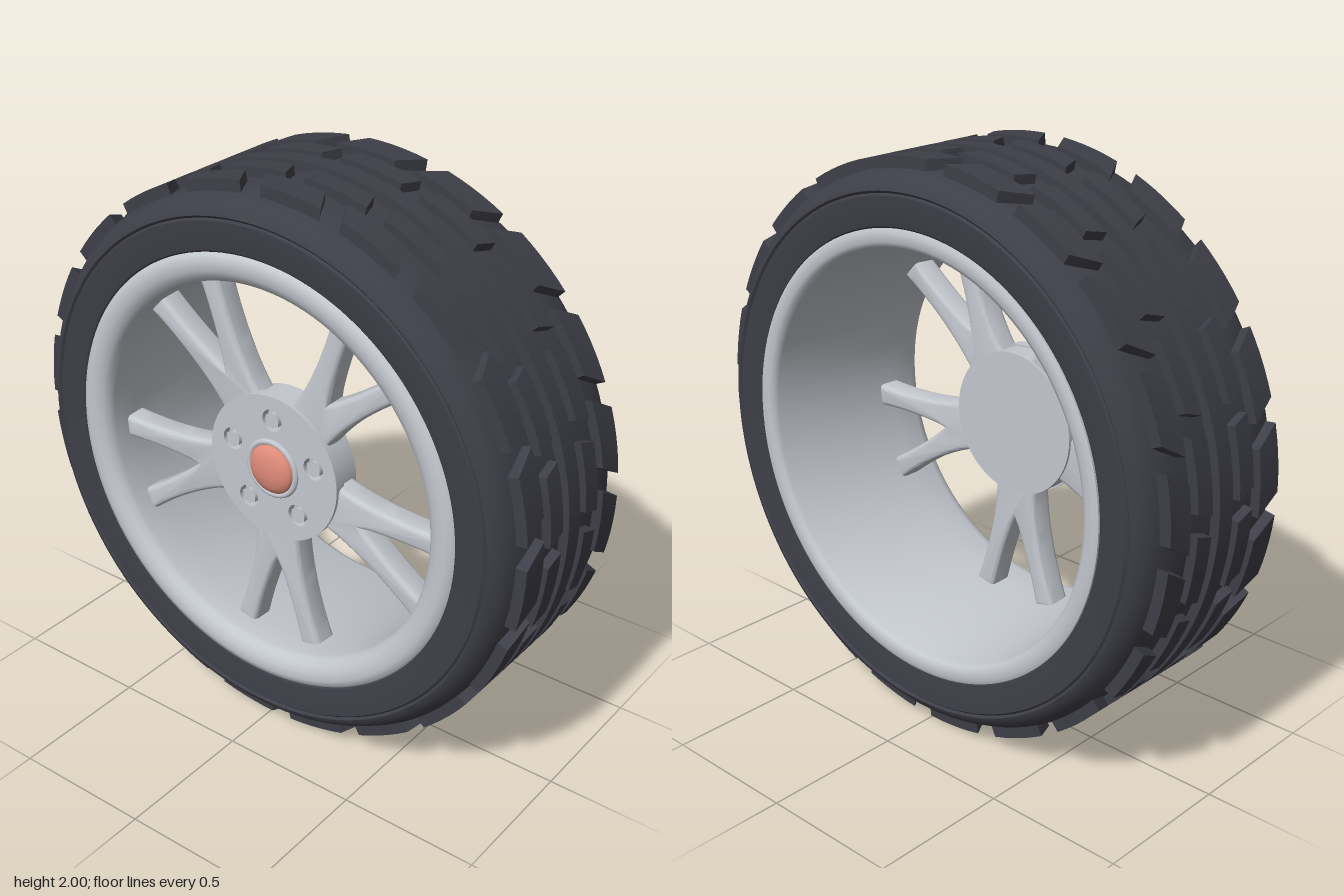
import * as THREE from 'three';
import { mergeGeometries, toCreasedNormals } from 'three/addons/utils/BufferGeometryUtils.js';

const mat = (name, color) => {
  const m = new THREE.MeshStandardMaterial({ color });
  m.name = name;
  return m;
};

// Ring or disc turned about the z axis from [radius, z] points
function turned(points, segments = 96, crease = 0.5) {
  const g = new THREE.LatheGeometry(points.map(([r, z]) => new THREE.Vector2(r, z)), segments);
  g.rotateX(Math.PI / 2);
  return toCreasedNormals(g, crease);
}

// Slanted tread block wrapped around the tyre; the slant leads towards the middle
function treadBlock(angle, length, skew, zInner, zOuter, side) {
  const g = new THREE.BoxGeometry(1, 1, 1, 5, 1, 1);
  const p = g.attributes.position;
  for (let i = 0; i < p.count; i++) {
    const top = p.getY(i) > 0;
    const across = p.getZ(i) * side; // -0.5 at the inner edge, 0.5 at the outer edge
    const shrink = top ? 0.96 : 1;
    const a = angle - p.getX(i) * length * shrink - across * skew;
    const r = top ? 1 : 0.945;
    const z = side * ((zInner + zOuter) / 2 + across * (zOuter - zInner) * shrink);
    p.setXYZ(i, r * Math.cos(a), r * Math.sin(a), z);
  }
  g.computeVertexNormals();
  return g;
}

export function createModel() {
  const rubber = mat('dark rubber', 0x3e3e48);
  const alloy = mat('silver alloy', 0xc3c7ce);
  const capColor = mat('salmon cap', 0xe08c7a);

  const wheel = new THREE.Group();
  wheel.name = 'wheel';
  wheel.position.y = 1;
  const add = (name, geometry, material, parent = wheel) => {
    const m = new THREE.Mesh(geometry, material);
    m.name = name;
    parent.add(m);
    return m;
  };

  // Tyre carcass with a raised centre rib, mirrored front to back
  const half = [[0.76, 0.32], [0.785, 0.342], [0.83, 0.349], [0.885, 0.35], [0.892, 0.343], [0.9, 0.35],
    [0.915, 0.345], [0.94, 0.32], [0.962, 0.28], [0.967, 0.18], [0.968, 0.036], [1, 0.034]];
  add('tyre', turned([...half.map(([r, z]) => [r, -z]), ...half.slice().reverse()], 128), rubber);

  // Two rows of tread blocks on each side of the rib
  const blocks = [];
  for (let i = 0; i < 20; i++) {
    const a = (i / 20) * Math.PI * 2;
    for (const side of [-1, 1]) {
      blocks.push(treadBlock(a - 0.08, 0.24, 0.06, 0.18, 0.283, side));
      blocks.push(treadBlock(a + 0.15, 0.25, 0.025, 0.07, 0.146, side));
    }
  }
  add('treadBlocks', mergeGeometries(blocks), rubber);

  // Rim: rounded front lip, tapering barrel, narrow back lip
  add('rim', turned([[0.78, 0.3], [0.782, 0.335], [0.772, 0.348], [0.75, 0.355], [0.72, 0.352], [0.695, 0.34],
    [0.68, 0.322], [0.675, 0.3], [0.68, 0.2], [0.712, -0.325], [0.72, -0.342], [0.735, -0.35],
    [0.765, -0.352], [0.78, -0.345], [0.78, -0.3]], 128, 0.7), alloy);

  // Five forked spokes
  const fork = new THREE.Shape();
  fork.moveTo(-0.09, 0.2);
  fork.lineTo(0.09, 0.2);
  fork.lineTo(0.09, 0.27);
  fork.quadraticCurveTo(0.1, 0.45, 0.187, 0.67);
  fork.lineTo(0.105, 0.685);
  fork.quadraticCurveTo(0.06, 0.5, 0, 0.37);
  fork.quadraticCurveTo(-0.06, 0.5, -0.105, 0.685);
  fork.lineTo(-0.187, 0.67);
  fork.quadraticCurveTo(-0.1, 0.45, -0.09, 0.27);
  const forkGeo = toCreasedNormals(new THREE.ExtrudeGeometry(fork, {
    depth: 0.055, bevelThickness: 0.02, bevelSize: 0.018, bevelOffset: -0.018, bevelSegments: 4, curveSegments: 10,
  }), 0.6);
  for (let i = 0; i < 5; i++) {
    const spoke = add('forkedSpoke', forkGeo, alloy);
    spoke.position.z = 0.165;
    spoke.rotation.z = Math.PI + (i * Math.PI * 2) / 5;
  }

  // Hub: solid back and a face plate pierced for the nuts
  const hub = new THREE.Group();
  hub.name = 'hub';
  wheel.add(hub);
  add('hubBody', turned([[0, 0.135], [0.26, 0.135], [0.26, 0.222], [0, 0.222]], 64), alloy, hub);
  const plate = new THREE.Shape().absarc(0, 0, 0.267, 0, Math.PI * 2);
  const nutGeo = new THREE.CylinderGeometry(0.03, 0.03, 0.034, 6).rotateX(Math.PI / 2);
  for (let i = 0; i < 5; i++) {
    const a = Math.PI / 2 + (i * Math.PI * 2) / 5;
    const x = 0.18 * Math.cos(a), y = 0.18 * Math.sin(a);
    plate.holes.push(new THREE.Path().absarc(x, y, 0.04, 0, Math.PI * 2, true));
    add('wheelNut', nutGeo, alloy, hub).position.set(x, y, 0.235);
  }
  const plateGeo = new THREE.ExtrudeGeometry(plate, { depth: 0.04, bevelEnabled: false, curveSegments: 32 });
  add('hubFace', toCreasedNormals(plateGeo, 0.5), alloy, hub).position.z = 0.212;

  // Domed centre cap in its raised ring
  add('capRing', new THREE.TorusGeometry(0.098, 0.011, 10, 48), alloy, hub).position.z = 0.252;
  const dome = [[0.09, 0.24], [0.09, 0.26], [0.082, 0.27], [0.062, 0.279], [0.035, 0.285], [0, 0.287]];
  add('centreCap', turned(dome, 48, 0.9), capColor, hub);

  const model = new THREE.Group();
  model.name = 'roadWheel';
  model.add(wheel);
  return model;
}
